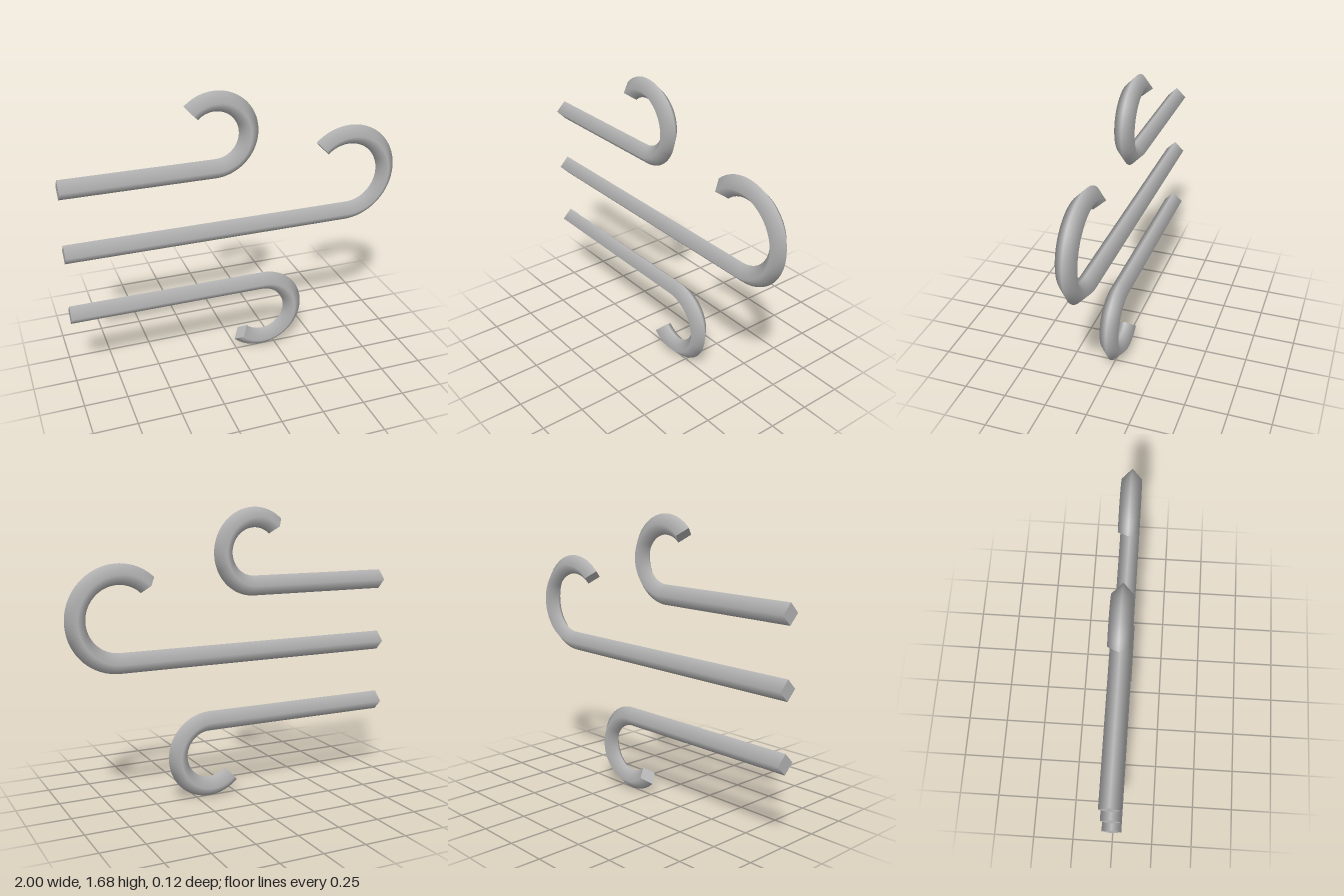
import * as THREE from 'three';

const RADIUS = 0.058;      // half diagonal of the square rod
const SWEEP = THREE.MathUtils.degToRad(223.5);

// Straight run from x = -1, then an arc curling up (dir 1) or down (dir -1)
class HookCurve extends THREE.Curve {
  constructor(cx, cy, bend, dir) {
    super();
    Object.assign(this, { cx, cy, bend, dir });
  }
  getPoint(t, target = new THREE.Vector3()) {
    const straight = this.cx + 1;
    const s = t * (straight + this.bend * SWEEP);
    if (s <= straight) return target.set(-1 + s, this.cy - this.dir * this.bend, 0);
    const a = (s - straight) / this.bend;
    return target.set(
      this.cx + this.bend * Math.sin(a),
      this.cy - this.dir * this.bend * Math.cos(a), 0);
  }
}

function makeGust(name, cx, cy, bend, dir, material) {
  const group = new THREE.Group();
  group.name = name;
  const curve = new HookCurve(cx, cy, bend, dir);

  // Four-sided rod with an edge facing front and back
  const rod = new THREE.Mesh(new THREE.TubeGeometry(curve, 120, RADIUS, 4, false), material);
  rod.name = 'rod';
  group.add(rod);

  // Flat square caps closing both ends
  for (const [t, sign, label] of [[0, -1, 'startCap'], [1, 1, 'hookCap']]) {
    const cap = new THREE.Mesh(new THREE.CircleGeometry(RADIUS, 4), material);
    cap.name = label;
    cap.position.copy(curve.getPoint(t));
    cap.lookAt(cap.position.clone().addScaledVector(curve.getTangent(t), sign));
    group.add(cap);
  }
  return group;
}

export function createModel() {
  const model = new THREE.Group();
  model.name = 'windIcon';
  const grey = new THREE.MeshStandardMaterial({ color: 0xb8b8b8 });
  grey.name = 'light grey';

  model.add(
    makeGust('upperGust', -0.124, 1.424, 0.196, 1, grey),
    makeGust('middleGust', 0.698, 1.086, 0.244, 1, grey),
    makeGust('lowerGust', 0.165, 0.256, 0.198, -1, grey));
  return model;
}
